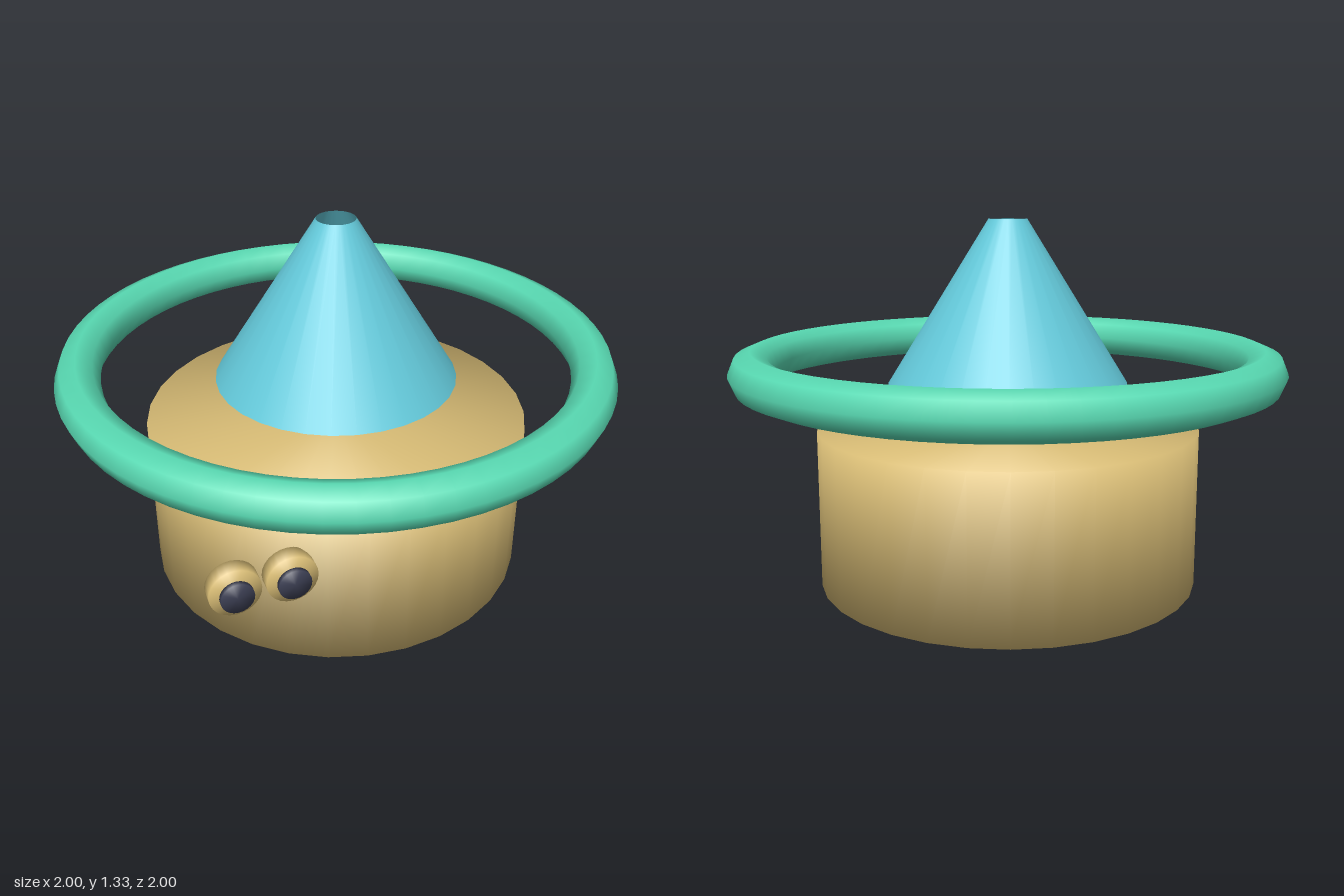
import * as THREE from 'three';

const tan = new THREE.MeshStandardMaterial({ name: 'tan', color: 0xd9bd76 });
const green = new THREE.MeshStandardMaterial({ name: 'sea green', color: 0x58d9b2 });
const blue = new THREE.MeshStandardMaterial({ name: 'sky blue', color: 0x64cadb, side: THREE.DoubleSide });
const navy = new THREE.MeshStandardMaterial({ name: 'dark navy', color: 0x3b3e52 });

// Cylinder whose shading rolls smoothly over the rims into the caps
function softCylinder(radius, height, sides) {
  const geometry = new THREE.CylinderGeometry(radius, radius, height, sides);
  const { position, normal } = geometry.attributes;
  const n = new THREE.Vector3();
  for (let i = 0; i < position.count; i++) {
    n.fromBufferAttribute(position, i);
    n.set(n.x / radius, Math.sign(n.y), n.z / radius).normalize();
    normal.setXYZ(i, n.x, n.y, n.z);
  }
  return geometry;
}

export function createModel() {
  const model = new THREE.Group();
  model.name = 'ringedHatFigure';

  function add(name, geometry, material, x, y, z) {
    const mesh = new THREE.Mesh(geometry, material);
    mesh.name = name;
    mesh.position.set(x, y, z);
    model.add(mesh);
    return mesh;
  }

  // Drum body
  add('body', softCylinder(0.7, 0.58, 32), tan, 0, 0.29, 0);

  // Hollow hat, open at both ends, floating above the body
  add('hat', new THREE.CylinderGeometry(0.07, 0.44, 0.595, 32, 1, true), blue, 0, 1.0325, 0);

  // Floating ring around the hat
  const ring = new THREE.TorusGeometry(0.92, 0.08, 8, 64).rotateX(Math.PI / 2);
  add('ring', ring, green, 0, 0.8, 0);

  // Two eyes, both on the right side, each with a pupil disc in front
  const eye = softCylinder(0.088, 0.055, 24).rotateX(Math.PI / 2);
  const pupil = softCylinder(0.056, 0.018, 24).rotateX(Math.PI / 2);
  for (const [side, x] of [['right', -0.58], ['left', -0.39]]) {
    add(side + 'Eye', eye, tan, x, 0.388, 0.628);
    add(side + 'Pupil', pupil, navy, x, 0.388, 0.676);
  }

  return model;
}
